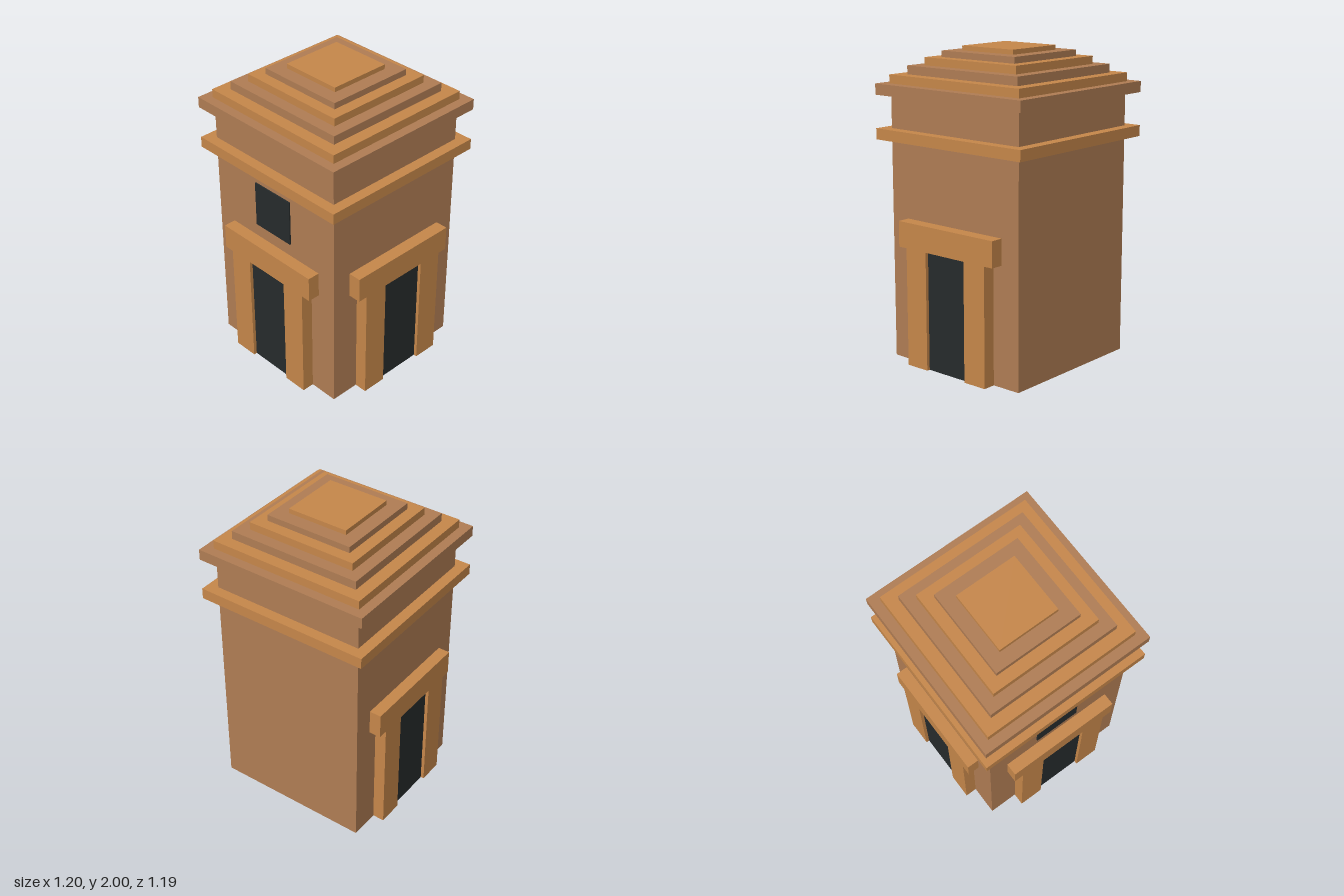
import * as THREE from 'three';

const clay = new THREE.MeshStandardMaterial({ color: 0xb07d54 });
const ochre = new THREE.MeshStandardMaterial({ color: 0xc6874a });
const dark = new THREE.MeshStandardMaterial({ color: 0x262b2c });

const CX = -0.004, CZ = -0.005; // tower axis
const WALL = 0.518;             // half width of the tower

// Box given by its x, y and z ranges
function box(parent, name, mat, [x0, x1], [y0, y1], [z0, z1]) {
  const mesh = new THREE.Mesh(new THREE.BoxGeometry(x1 - x0, y1 - y0, z1 - z0), mat);
  mesh.position.set((x0 + x1) / 2, (y0 + y1) / 2, (z0 + z1) / 2);
  mesh.name = name;
  parent.add(mesh);
}

// Doorway facing +z: T-shaped surround with a recessed dark door
function doorway(name, depth) {
  const group = new THREE.Group();
  group.name = name;
  const half = [[0.387, 0.93], [0.387, 0.765], [0.323, 0.765], [0.323, 0], [0.158, 0], [0.158, 0.765]];
  const points = [...half, ...half.map(([x, y]) => [-x, y]).reverse()];
  const shape = new THREE.Shape(points.map(([x, y]) => new THREE.Vector2(x, y)));
  const geometry = new THREE.ExtrudeGeometry(shape, { depth, bevelEnabled: false });
  geometry.translate(0, 0, WALL);
  const surround = new THREE.Mesh(geometry, ochre);
  surround.name = 'doorSurround';
  group.add(surround);
  box(group, 'door', dark, [-0.158, 0.158], [0, 0.765], [WALL - 0.01, WALL + depth - 0.022]);
  return group;
}

export function createModel() {
  const model = new THREE.Group();
  model.name = 'tower';
  const tower = new THREE.Group();
  tower.name = 'towerParts';
  tower.position.set(CX, 0, CZ);
  model.add(tower);

  // Stacked square tiers: name, material, half width, bottom, top
  const tiers = [
    ['body', clay, WALL, 0, 1.42],
    ['lowerCornice', ochre, 0.587, 1.42, 1.49],
    ['upperWall', clay, WALL, 1.49, 1.7],
    ['roofSlab', clay, 0.587, 1.7, 1.77],
    ['roofStep1', ochre, 0.525, 1.77, 1.825],
    ['roofStep2', clay, 0.446, 1.825, 1.88],
    ['roofStep3', ochre, 0.37, 1.88, 1.93],
    ['roofStep4', clay, 0.295, 1.93, 1.97],
    ['roofStep5', ochre, 0.205, 1.97, 2],
  ];
  for (const [name, mat, h, y0, y1] of tiers) box(tower, name, mat, [-h, h], [y0, y1], [-h, h]);

  // Doorways on the front and both sides
  const sides = [['frontDoorway', 0, 0.081], ['leftDoorway', 1, 0.084], ['rightDoorway', -1, 0.077]];
  for (const [name, turn, depth] of sides) {
    const d = doorway(name, depth);
    d.rotation.y = turn * Math.PI / 2;
    tower.add(d);
  }

  // Window panel above the front door
  box(tower, 'window', dark, [-0.16, 0.145], [1.02, 1.325], [WALL - 0.01, WALL + 0.009]);
  return model;
}
